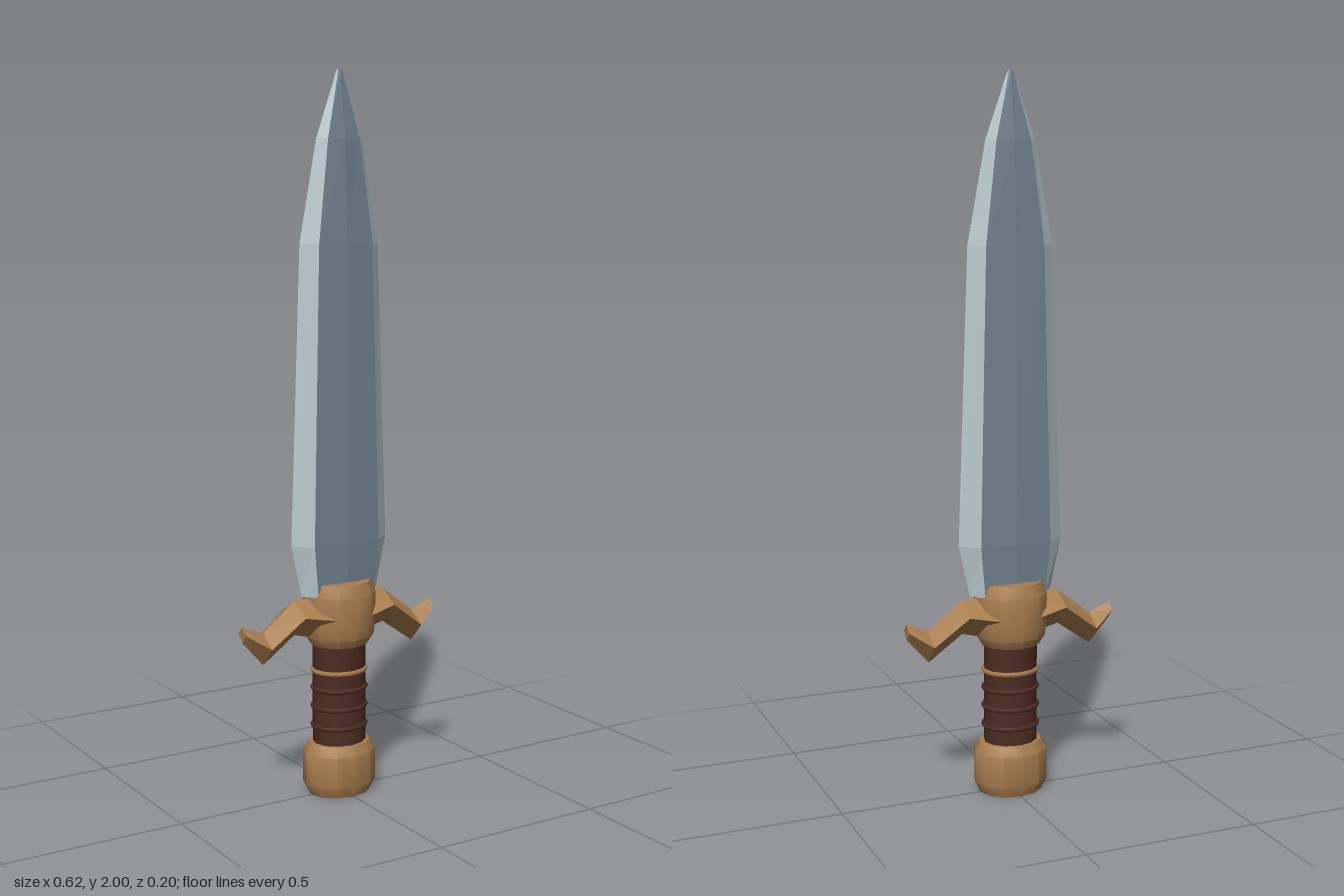
import * as THREE from 'three';
import { toCreasedNormals } from 'three/addons/utils/BufferGeometryUtils.js';

// Skins a list of rings with flat faces; pick(side) gives the material index, caps use capIndex
function loft(rings, pick = () => 0, capIndex = 0) {
  const buckets = [[], []];
  const n = rings[0].length;
  const tri = (m, ...pts) => pts.forEach(p => buckets[m].push(...p));
  for (let i = 0; i < rings.length - 1; i++) {
    for (let j = 0; j < n; j++) {
      const k = (j + 1) % n;
      const [a, b, c, d] = [rings[i][j], rings[i][k], rings[i + 1][k], rings[i + 1][j]];
      tri(pick(j), a, b, c);
      tri(pick(j), a, c, d);
    }
  }
  const first = rings[0], last = rings[rings.length - 1];
  for (let j = 1; j < n - 1; j++) {
    tri(capIndex, first[0], first[j + 1], first[j]);
    tri(capIndex, last[0], last[j], last[j + 1]);
  }
  const geo = new THREE.BufferGeometry();
  geo.setAttribute('position', new THREE.Float32BufferAttribute(buckets.flat(), 3));
  geo.addGroup(0, buckets[0].length / 3, 0);
  geo.addGroup(buckets[0].length / 3, buckets[1].length / 3, 1);
  geo.computeVertexNormals();
  return geo;
}

// Twelve-sided turned part, stretched to an oval, smooth around and sharp at the rims
function turned(points, scaleX, scaleZ) {
  const geo = new THREE.LatheGeometry(points.map(p => new THREE.Vector2(...p)), 12);
  geo.scale(scaleX, 1, scaleZ);
  return toCreasedNormals(geo, 0.6);
}

export function createModel() {
  const group = new THREE.Group();
  const mat = (name, color) => new THREE.MeshStandardMaterial({ name, color });
  const steel = mat('steel', 0x72828e);
  const edge = mat('sharpened steel', 0xb9c9cd);
  const bronze = mat('bronze', 0xa87d4e);
  const leather = mat('leather', 0x4c2c22);
  const add = (name, geo, material) => {
    const mesh = new THREE.Mesh(geo, material);
    mesh.name = name;
    group.add(mesh);
    return mesh;
  };

  // Blade: height, half width, flat half width, flat depth, ridge depth
  const blade = [
    [0.575, 0.122, 0.09, 0.038, 0.045],
    [0.72, 0.154, 0.104, 0.042, 0.05],
    [1.54, 0.125, 0.085, 0.036, 0.042],
    [1.82, 0.072, 0.05, 0.025, 0.031],
    [2.0, 0.008, 0.006, 0.006, 0.008],
  ].map(([y, w, c, t, r]) => [
    [w, y, 0], [c, y, -t], [0, y, -r], [-c, y, -t],
    [-w, y, 0], [-c, y, t], [0, y, r], [c, y, t],
  ]);
  add('blade', loft(blade, j => ([0, 3, 4, 7].includes(j) ? 1 : 0)), [steel, edge]);

  // Guard collar
  add('guardCollar', turned([
    [0, 0.43], [0.08, 0.43], [0.095, 0.455], [0.1, 0.5], [0.1, 0.575], [0.087, 0.61], [0, 0.61],
  ], 1.04, 0.98), bronze);

  // Guard arms: x, top, side ridge height, bottom, half depth
  const arm = [
    [0.03, 0.57, 0.51, 0.44, 0.085],
    [0.145, 0.567, 0.53, 0.47, 0.062],
    [0.245, 0.49, 0.455, 0.4, 0.052],
    [0.308, 0.515, 0.495, 0.47, 0.022],
  ].map(([x, top, mid, bottom, z]) => [[x, top, 0], [x, mid, z], [x, bottom, 0], [x, mid, -z]]);
  const armGeo = loft(arm);
  add('leftGuardArm', armGeo, [bronze, bronze]);
  add('rightGuardArm', armGeo, [bronze, bronze]).rotation.y = Math.PI;

  // Grip with wrapped cords and a metal band
  add('grip', turned([[0, 0.13], [0.077, 0.13], [0.077, 0.44], [0, 0.44]], 1, 0.88), leather);
  const ring = (name, y, material) => {
    const geo = new THREE.TorusGeometry(0.077, 0.007, 6, 24);
    geo.rotateX(Math.PI / 2);
    geo.scale(1, 1, 0.88);
    add(name, geo, material).position.y = y;
  };
  [0.195, 0.25, 0.303].forEach(y => ring('gripCord', y, leather));
  ring('gripBand', 0.355, bronze);

  // Pommel
  add('pommel', turned([
    [0, 0], [0.092, 0], [0.107, 0.03], [0.107, 0.12], [0.09, 0.147], [0, 0.147],
  ], 1, 0.84), bronze);

  return group;
}
